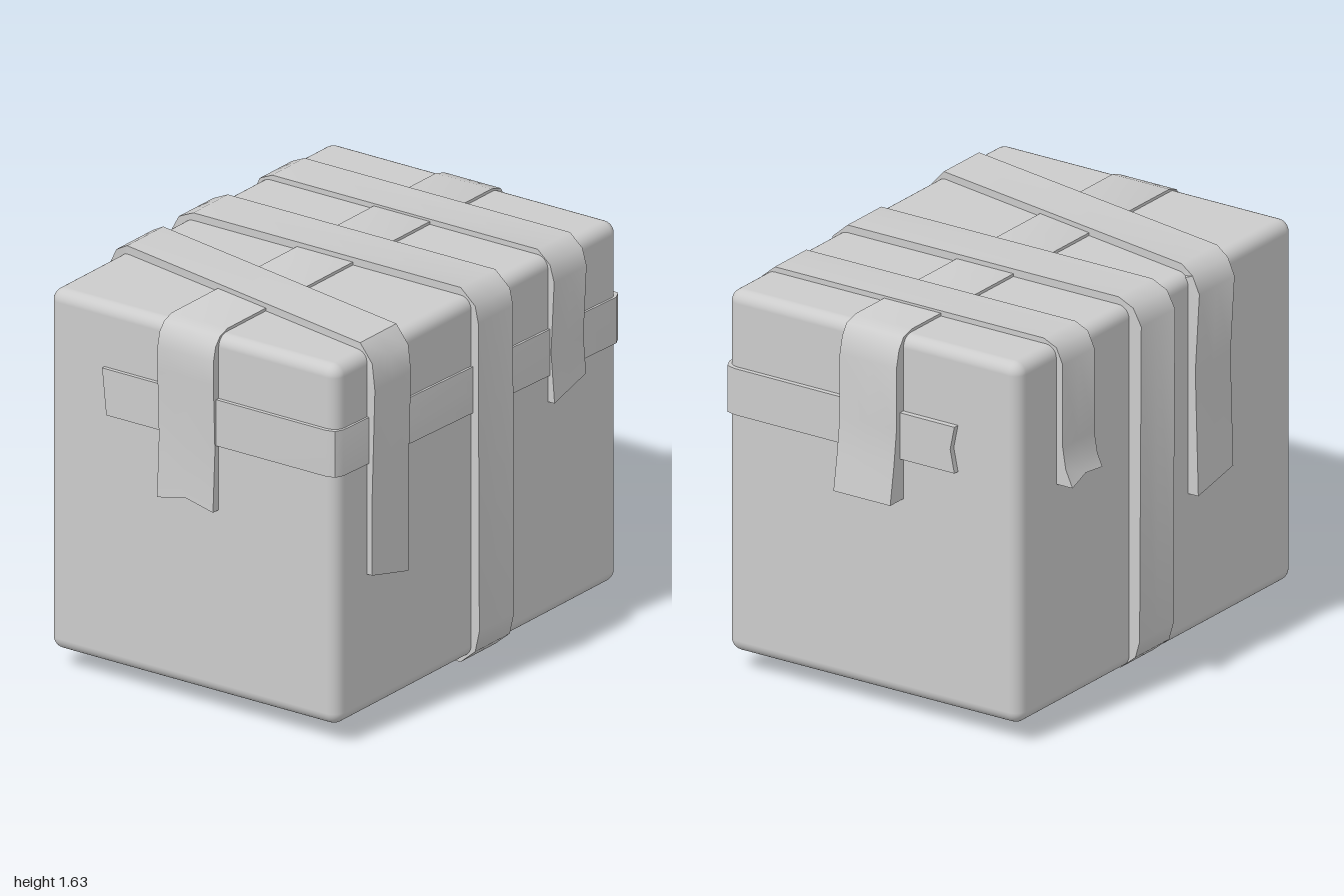
import * as THREE from 'three';
import { toCreasedNormals } from 'three/addons/utils/BufferGeometryUtils.js';
import { RoundedBoxGeometry } from 'three/addons/geometries/RoundedBoxGeometry.js';

const LO = { x: -0.68, y: 0.08, z: -0.91 };
const HI = { x: 0.71, y: 1.6, z: 0.96 };
const material = new THREE.MeshStandardMaterial({ color: 0xcccccc });

// A solid strip of tape. `path` is its outer side, counter-clockwise in the plane
// of axes u and v; it is `width` wide on axis w and its inner side sinks into the box.
// `start` and `end` shift the two edges and the middle of each end along the path.
function tape(name, [u, v, w], width, path, { start = [0, 0, 0], end = [0, 0, 0], shift = () => 0 } = {}) {
  const inset = 0.015, n = path.length;
  const mirrored = w !== 'z';
  const sides = mirrored ? [width[1], width[0]] : width;
  const across = [sides[0], (sides[0] + sides[1]) / 2, sides[1]];
  const rings = path.map((p, i) => {
    const offs = i === 0 ? start : i === n - 1 ? end : [0, 0, 0];
    const q = path[i === 0 ? 1 : Math.max(i - 1, 0)];
    const len = Math.hypot(p[0] - q[0], p[1] - q[1]);
    const dir = [(p[0] - q[0]) / len, (p[1] - q[1]) / len];
    const outer = [], inner = [];
    across.forEach((c, k) => {
      const o = new THREE.Vector3();
      o[u] = p[0] + dir[0] * offs[k];
      o[v] = p[1] + dir[1] * offs[k];
      o[w] = c + shift(p[0], p[1]);
      const a = o.clone();
      for (const axis of [u, v]) a[axis] = THREE.MathUtils.clamp(o[axis], LO[axis] + inset, HI[axis] - inset);
      outer.push(o);
      inner.unshift(a);
    });
    return [...outer, ...inner];
  });
  const pos = [];
  const quad = (a, b, c, d) => [a, b, c, a, c, d].forEach((p) => pos.push(p.x, p.y, p.z));
  for (let i = 0; i < n - 1; i++) {
    for (let k = 0; k < 6; k++) {
      const m = (k + 1) % 6;
      quad(rings[i][k], rings[i + 1][k], rings[i + 1][m], rings[i][m]);
    }
  }
  const s = rings[0], e = rings[n - 1];
  quad(s[0], s[1], s[4], s[5]);
  quad(s[1], s[2], s[3], s[4]);
  quad(e[5], e[4], e[1], e[0]);
  quad(e[4], e[3], e[2], e[1]);
  const geo = new THREE.BufferGeometry();
  geo.setAttribute('position', new THREE.Float32BufferAttribute(pos, 3));
  const mesh = new THREE.Mesh(toCreasedNormals(geo, 0.75), material);
  mesh.name = name;
  return mesh;
}

export function createModel() {
  const group = new THREE.Group();
  group.name = 'tapedBox';

  // Box with softly rounded edges
  const box = new THREE.Mesh(
    new RoundedBoxGeometry(HI.x - LO.x, HI.y - LO.y, HI.z - LO.z, 4, 0.05), material);
  box.position.set((LO.x + HI.x) / 2, (LO.y + HI.y) / 2, (LO.z + HI.z) / 2);
  box.name = 'box';
  group.add(box);

  // Tape from front to back over the top, notched in front and peeling at the back
  group.add(tape('lengthwiseTape', ['z', 'y', 'x'], [-0.13, 0.14], [
    [0.998, 0.865], [0.985, 1.12], [0.995, 1.4], [0.995, 1.5], [0.98, 1.56], [0.95, 1.595], [0.9, 1.612],
    [-0.85, 1.612], [-0.91, 1.595], [-0.94, 1.55], [-0.957, 1.48], [-0.957, 1.22], [-0.975, 1.07], [-1.0, 0.915],
  ], { start: [0, -0.03, 0] }));

  // Tape around the upper front, left side and back, sinking a little towards the back
  group.add(tape('horizontalTape', ['x', 'z', 'y'], [1.115, 1.31], [
    [-0.39, -0.935], [0.66, -0.93], [0.7, -0.92], [0.72, -0.88],
    [0.72, 0.93], [0.705, 0.965], [0.67, 0.977], [-0.39, 0.977],
  ], {
    start: [0, -0.02, 0], end: [0.02, 0.01, 0],
    shift: (x, z) => 0.025 * z / 0.95,
  }));

  // Tape all around the middle, with a loose end underneath
  group.add(tape('middleLoopTape', ['x', 'y', 'z'], [-0.16, 0.07], [
    [-0.18, 0.01], [-0.14, 0], [-0.07, 0.02], [0.02, 0.036], [0.15, 0.042], [0.66, 0.05], [0.73, 0.11], [0.75, 0.2],
    [0.745, 1.5], [0.73, 1.57], [0.66, 1.632], [-0.63, 1.632], [-0.7, 1.6], [-0.738, 1.53],
    [-0.73, 0.2], [-0.71, 0.13], [-0.64, 0.072], [-0.3, 0.07],
  ]));

  // Short tape across the back of the top, flaring at its right end
  group.add(tape('rearCrossTape', ['x', 'y', 'z'], [-0.655, -0.44], [
    [0.742, 0.99], [0.725, 1.2], [0.74, 1.5], [0.72, 1.57], [0.66, 1.622],
    [-0.62, 1.622], [-0.68, 1.595], [-0.71, 1.53], [-0.71, 1.18], [-0.725, 1.09], [-0.757, 1.02],
  ], { start: [-0.055, -0.028, 0], end: [0, -0.03, -0.02] }));

  // Slanted tape across the front of the top
  group.add(tape('slantedTape', ['x', 'y', 'z'], [0.38, 0.62], [
    [0.735, 0.605], [0.735, 1.0], [0.748, 1.45], [0.735, 1.56], [0.67, 1.63],
    [-0.64, 1.634], [-0.7, 1.6], [-0.735, 1.53], [-0.715, 1.2], [-0.73, 0.68],
  ], {
    start: [0, -0.03, -0.06], end: [0, -0.025, -0.05],
    shift: (x) => 0.14 * THREE.MathUtils.clamp(x / 0.72, -1, 1),
  }));

  return group;
}
